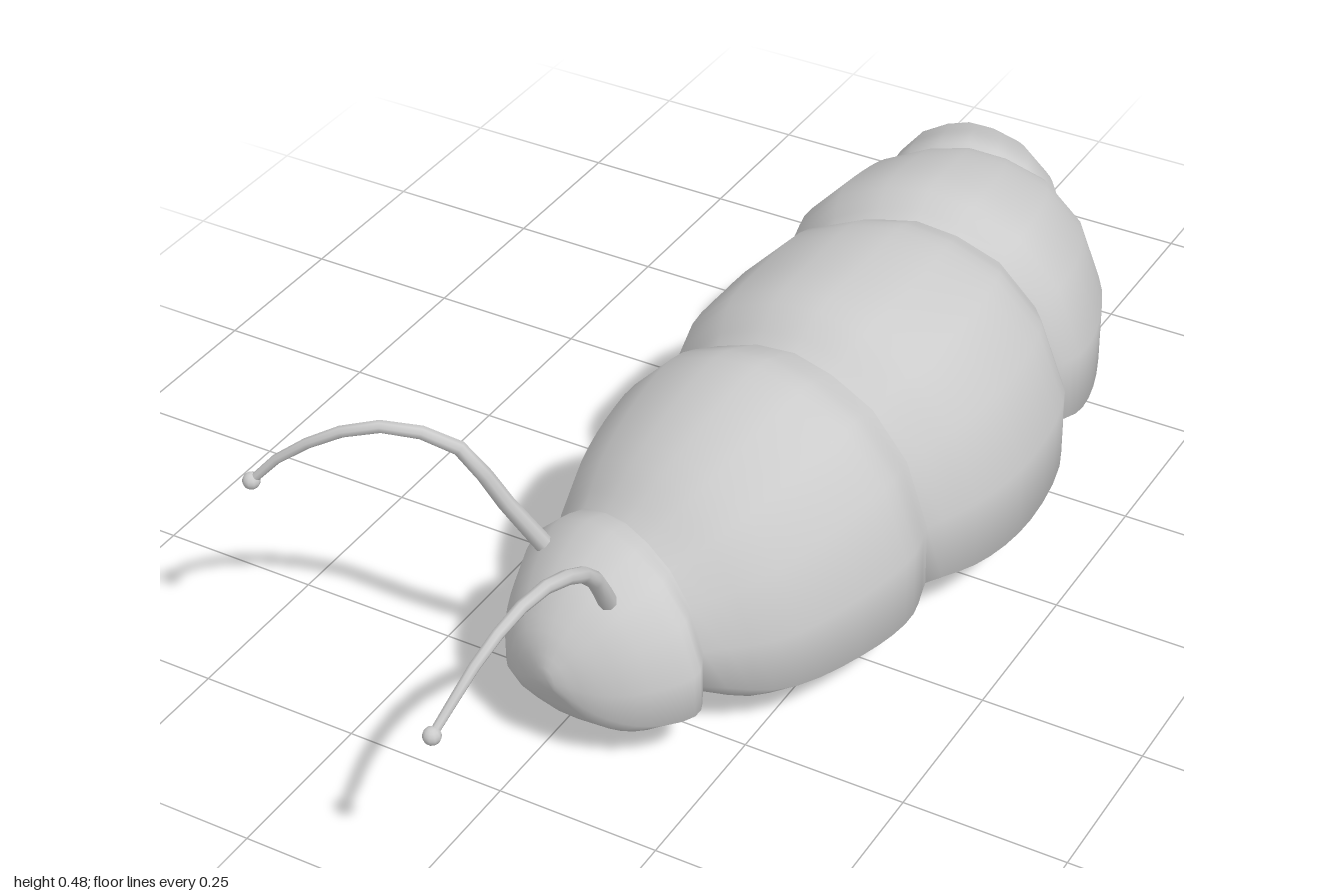
import * as THREE from 'three';

const material = new THREE.MeshStandardMaterial({ color: 0xcccccc });

// Half of the domed, flat-bellied cross-section: [sideways -1..1, height 0..1]
const half = [[0, 1], [0.28, 0.97], [0.58, 0.89], [0.84, 0.72], [1, 0.46], [1, 0.2], [0.76, 0.08], [0.38, 0.025], [0, 0]];
const section = [...half, ...half.slice(1, -1).reverse().map(([u, v]) => [-u, v])];

// Loft through rings given as [sideA x, sideA z, sideB x, sideB z, bottom, top], back to front
function loft(rows, closeBack, closeFront, steps = 14) {
  const low = new THREE.CatmullRomCurve3(rows.map(r => new THREE.Vector3(r[0], r[4], r[1])));
  const high = new THREE.CatmullRomCurve3(rows.map(r => new THREE.Vector3(r[2], r[5], r[3])));
  const n = section.length, pos = [], index = [];
  for (let i = 0; i <= steps; i++) {
    const a = low.getPoint(i / steps), b = high.getPoint(i / steps);
    for (const [u, v] of section) {
      const t = (u + 1) / 2;
      pos.push(a.x + (b.x - a.x) * t, a.y + (b.y - a.y) * v, a.z + (b.z - a.z) * t);
    }
  }
  for (let i = 0; i < steps; i++) {
    for (let k = 0; k < n; k++) {
      const p = i * n + k, q = i * n + (k + 1) % n;
      index.push(p, p + n, q, q, p + n, q + n);
    }
  }
  // Close the pointed ends
  const cap = (row, ring, front) => {
    const c = pos.length / 3;
    pos.push((row[0] + row[2]) / 2, (row[4] + row[5]) / 2, (row[1] + row[3]) / 2);
    for (let k = 0; k < n; k++) {
      const p = ring * n + k, q = ring * n + (k + 1) % n;
      if (front) index.push(c, q, p);
      else index.push(c, p, q);
    }
  };
  if (closeBack) cap(rows[0], 0, false);
  if (closeFront) cap(rows[rows.length - 1], steps, true);
  const g = new THREE.BufferGeometry();
  g.setAttribute('position', new THREE.Float32BufferAttribute(pos, 3));
  g.setIndex(index);
  g.computeVertexNormals();
  return g;
}

// Antenna: tapered tube with a small ball at the tip
function antenna(name, points) {
  const group = new THREE.Group();
  group.name = name;
  const curve = new THREE.CatmullRomCurve3(points.map(p => new THREE.Vector3(...p)));
  const segs = 10, sides = 8;
  const g = new THREE.TubeGeometry(curve, segs, 0.014, sides);
  const p = g.attributes.position, v = new THREE.Vector3();
  for (let i = 0; i < p.count; i++) {
    const t = Math.floor(i / (sides + 1)) / segs, c = curve.getPointAt(t);
    v.fromBufferAttribute(p, i).sub(c).multiplyScalar(1 - 0.55 * t).add(c);
    p.setXYZ(i, v.x, v.y, v.z);
  }
  const stalk = new THREE.Mesh(g, material);
  stalk.name = 'antennaStalk';
  const tip = new THREE.Mesh(new THREE.SphereGeometry(0.013, 10, 8), material);
  tip.name = 'antennaTip';
  tip.position.copy(curve.getPoint(1));
  group.add(stalk, tip);
  return group;
}

export function createModel() {
  const model = new THREE.Group();
  model.name = 'caterpillar';

  // Creases shared by neighbouring segments
  const neck = [-0.105, 0.42, 0.2, 0.53, 0.065, 0.305];
  const seamA = [-0.105, 0.108, 0.362, 0.165, 0.03, 0.417];
  const seamB = [-0.105, -0.23, 0.352, -0.29, 0.03, 0.42];
  const seamC = [-0.11, -0.575, 0.18, -0.68, 0.03, 0.31];
  const seamD = [-0.165, -0.815, -0.015, -0.905, 0.035, 0.185];

  const parts = {
    tail: [
      [-0.185, -0.995, -0.17, -1.0, 0.06, 0.085],
      [-0.2, -0.95, -0.08, -0.972, 0.043, 0.15],
      [-0.185, -0.875, -0.015, -0.93, 0.034, 0.188],
      seamD],
    rearSegment: [
      seamD,
      [-0.18, -0.785, 0.055, -0.87, 0.025, 0.245],
      [-0.165, -0.71, 0.135, -0.79, 0.02, 0.29],
      [-0.145, -0.62, 0.178, -0.71, 0.02, 0.32],
      seamC],
    backSegment: [
      seamC,
      [-0.14, -0.51, 0.275, -0.61, 0.014, 0.375],
      [-0.147, -0.42, 0.35, -0.46, 0.01, 0.425],
      [-0.145, -0.31, 0.372, -0.345, 0.014, 0.442],
      seamB],
    middleSegment: [
      seamB,
      [-0.14, -0.17, 0.4, -0.22, 0.012, 0.45],
      [-0.147, -0.06, 0.425, -0.06, 0.005, 0.463],
      [-0.142, 0.045, 0.408, 0.07, 0.012, 0.455],
      seamA],
    frontSegment: [
      seamA,
      [-0.143, 0.18, 0.376, 0.24, 0.014, 0.44],
      [-0.147, 0.27, 0.35, 0.34, 0.01, 0.42],
      [-0.138, 0.35, 0.29, 0.45, 0.018, 0.37],
      neck],
    head: [
      neck,
      [-0.13, 0.465, 0.212, 0.562, 0.04, 0.31],
      [-0.105, 0.555, 0.168, 0.618, 0.046, 0.28],
      [-0.06, 0.625, 0.11, 0.652, 0.08, 0.228],
      [0.01, 0.662, 0.045, 0.67, 0.14, 0.175]],
  };
  for (const [name, rows] of Object.entries(parts)) {
    const mesh = new THREE.Mesh(loft(rows, name === 'tail', name === 'head'), material);
    mesh.name = name;
    model.add(mesh);
  }

  model.add(
    antenna('rightAntenna', [
      [-0.05, 0.25, 0.52], [-0.1, 0.363, 0.568], [-0.14, 0.44, 0.592], [-0.214, 0.477, 0.632],
      [-0.283, 0.467, 0.662], [-0.375, 0.41, 0.692], [-0.418, 0.363, 0.707]]),
    antenna('leftAntenna', [
      [0.086, 0.25, 0.585], [0.097, 0.345, 0.645], [0.104, 0.395, 0.71], [0.1, 0.418, 0.79],
      [0.088, 0.395, 0.885], [0.063, 0.31, 0.987]])
  );
  return model;
}
